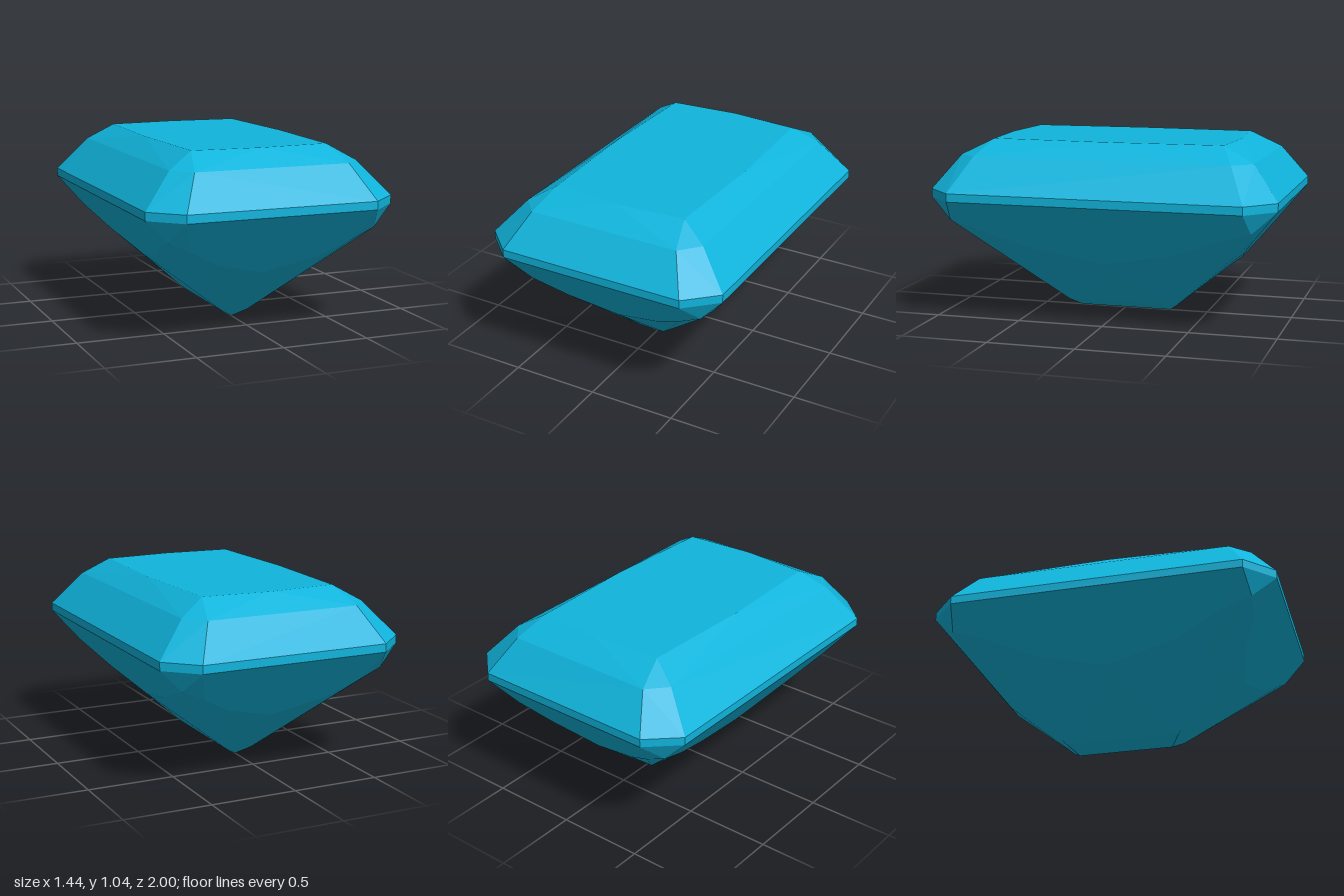
import * as THREE from 'three';
import { ConvexGeometry } from 'three/addons/geometries/ConvexGeometry.js';

// Main slopes of the lower half: half width and half length at height y
const sideX = (y) => 0.72 - 0.764 * (0.71 - y);
const endZ = (y) => 1 - 0.806 * (0.71 - y);

// Facet corners of one quarter of the stone
const quarter = [
  // table
  [0.40, 1.04, 0.67], [0, 1.04, 0.70], [0.425, 1.04, 0],
  // crown ring
  [0.55, 0.95, 0.74], [0.45, 0.95, 0.85],
  // girdle, upper and lower edge
  [0.72, 0.757, 0.84], [0.55, 0.757, 1],
  [0.72, 0.71, 0.84], [0.55, 0.71, 1],
  // tip of the small corner triangle
  [0.605, 0.59, 0.865],
  // lower border of the end facet
  [0.47, 0.525, endZ(0.525)], [0.29, 0.425, endZ(0.425)], [0, 0.35, endZ(0.35)],
  // lower border of the long side facet
  [sideX(0.54), 0.54, 0.70], [sideX(0.43), 0.43, 0.40], [sideX(0.35), 0.35, 0],
  // keel
  [0.075, 0.045, 0.33], [0, 0, 0.275],
];

// Mirror a corner across x and z, without doubling those on the axes
function mirrored([x, y, z]) {
  const points = [];
  for (const sx of x ? [1, -1] : [1]) {
    for (const sz of z ? [1, -1] : [1]) points.push(new THREE.Vector3(x * sx, y, z * sz));
  }
  return points;
}

export function createModel() {
  const group = new THREE.Group();
  group.name = 'gemstone';
  const material = new THREE.MeshStandardMaterial({ color: 0x10b4dc, flatShading: true });
  const stone = new THREE.Mesh(new ConvexGeometry(quarter.flatMap(mirrored)), material);
  stone.name = 'facetedStone';
  group.add(stone);
  return group;
}
